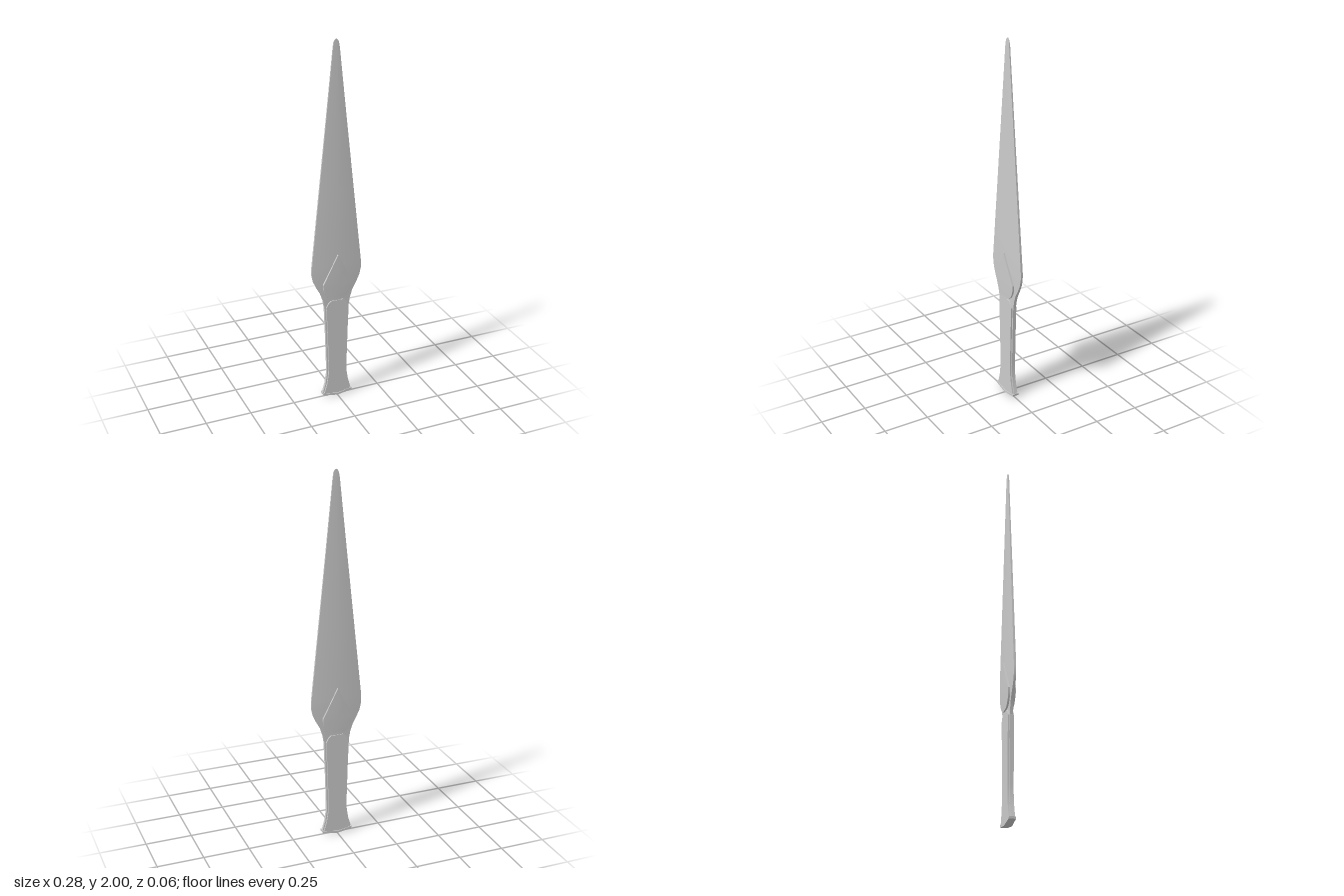
import * as THREE from 'three';
import { toCreasedNormals } from 'three/addons/utils/BufferGeometryUtils.js';

const material = new THREE.MeshStandardMaterial({ color: 0xcccccc });

// Lofts hexagonal sections upwards. Each row: [y, half width, half depth at
// the centre ridge, half depth at the edge, drop of the ridge below y].
function loft(name, rows) {
  const pos = [], idx = [];
  for (const [y, w, c, e, drop = 0] of rows) {
    pos.push(w, y, e, 0, y - drop, c, -w, y, e, -w, y, -e, 0, y - drop, -c, w, y, -e);
  }
  for (let j = 0; j < rows.length - 1; j++) {
    for (let i = 0; i < 6; i++) {
      const a = j * 6 + i, b = j * 6 + (i + 1) % 6;
      idx.push(a, a + 6, b, b, a + 6, b + 6);
    }
  }
  // end caps, split along the ridge line so a dropped ridge folds cleanly
  const top = (rows.length - 1) * 6;
  for (const [a, b, c] of [[1, 2, 3], [1, 3, 4], [1, 4, 5], [1, 5, 0]]) {
    idx.push(a, b, c, top + a, top + c, top + b);
  }
  const geo = new THREE.BufferGeometry();
  geo.setAttribute('position', new THREE.Float32BufferAttribute(pos, 3));
  geo.setIndex(idx);
  const mesh = new THREE.Mesh(toCreasedNormals(geo, 0.45), material);
  mesh.name = name;
  return mesh;
}

export function createModel() {
  const group = new THREE.Group();
  group.name = 'dagger';

  // Blade with a shallow central ridge, shoulders and a rounded tip
  group.add(loft('blade', [
    [0.55, 0.07, 0.01, 0.008],
    [0.59, 0.077, 0.012, 0.008],
    [0.63, 0.09, 0.014, 0.008],
    [0.67, 0.112, 0.016, 0.007],
    [0.71, 0.131, 0.018, 0.006],
    [0.75, 0.14, 0.019, 0.006],
    [0.79, 0.14, 0.02, 0.006],
    [1.2, 0.097, 0.015, 0.005],
    [1.6, 0.055, 0.009, 0.004],
    [1.96, 0.018, 0.004, 0.003],
    [1.985, 0.014, 0.003, 0.002],
    [1.996, 0.008, 0.002, 0.002],
    [2.0, 0.003, 0.002, 0.002],
  ]));

  // Raised teardrop on both faces, following the slope of the blade
  group.add(loft('teardropInlay', [
    [0.59, 0.018, 0.021, 0.02],
    [0.597, 0.038, 0.021, 0.019],
    [0.612, 0.056, 0.022, 0.019],
    [0.635, 0.071, 0.023, 0.019],
    [0.66, 0.079, 0.024, 0.02],
    [0.69, 0.081, 0.025, 0.021],
    [0.77, 0.042, 0.027, 0.024],
    [0.855, 0.001, 0.028, 0.028],
  ]));

  // Tang rim showing around the grip
  group.add(loft('tang', [
    [0.02, 0.084, 0.008, 0.008, 0.015],
    [0.08, 0.067, 0.008, 0.008],
    [0.14, 0.058, 0.008, 0.008],
    [0.2, 0.058, 0.008, 0.008],
    [0.4, 0.064, 0.008, 0.008],
    [0.55, 0.07, 0.01, 0.008],
  ]));

  // Grip plates with a chamfered top and a flared foot
  group.add(loft('grip', [
    [0.025, 0.076, 0.016, 0.016, 0.015],
    [0.08, 0.06, 0.016, 0.016],
    [0.14, 0.051, 0.016, 0.016],
    [0.2, 0.05, 0.016, 0.016],
    [0.4, 0.056, 0.016, 0.016],
    [0.55, 0.062, 0.016, 0.016],
    [0.572, 0.05, 0.016, 0.016],
    [0.586, 0.034, 0.016, 0.016],
  ]));

  // Shallow V-shaped pommel plate
  group.add(loft('pommel', [
    [0.014, 0.084, 0.02, 0.018, 0.014],
    [0.026, 0.085, 0.02, 0.018, 0.014],
  ]));

  return group;
}
